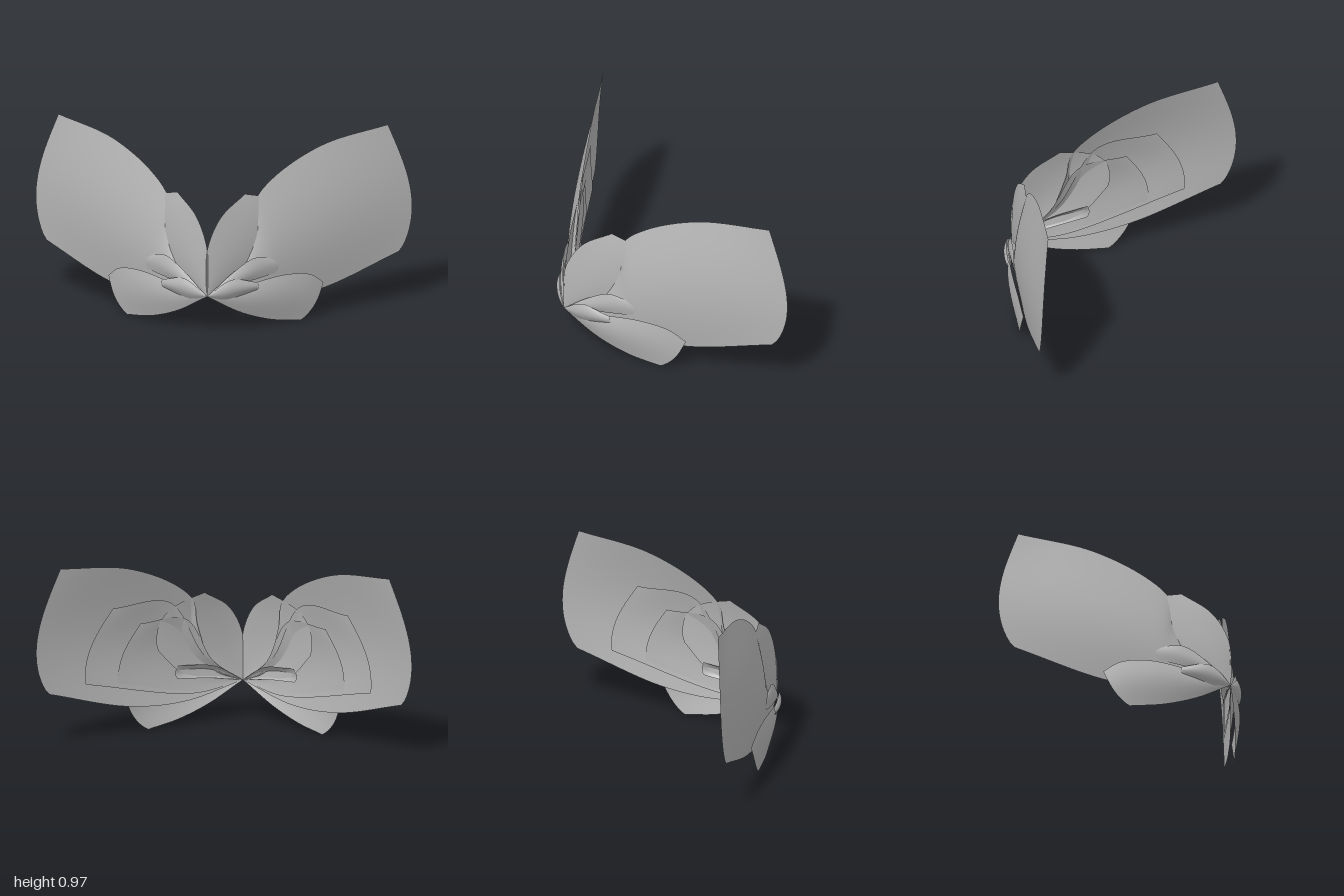
import * as THREE from 'three';

const ANGLE = 0.678; // sweep of each wing away from the x axis
const COS = Math.cos(ANGLE), SIN = Math.sin(ANGLE);
const ROOT_Y = 0.21;

// Smooth edge curve from the shared root, points given as [distance outward, height]
const edge = (...points) => new THREE.CatmullRomCurve3(
  [[0, ROOT_Y], ...points].map(([s, y]) => new THREE.Vector3(s, y, 0)), false, 'centripetal');

// Forward offset along an edge: 0 at the root, mid halfway, end at the tip
const offset = ([mid, end], t) => 4 * t * (1 - t) * mid + t * (2 * t - 1) * end;

// Curved sheet between two edges, bowed forward and rounded at its tip
function petalGeometry({ lower, upper, lowerOffset, upperOffset, bulge, tip, scale = 1 }, side) {
  const nt = 40, nw = 24, pos = [], index = [];
  for (let i = 0; i <= nt; i++) {
    const t = i / nt;
    const low = lower.getPointAt(t), high = upper.getPointAt(t);
    low.z = offset(lowerOffset, t);
    high.z = offset(upperOffset, t);
    for (let j = 0; j <= nw; j++) {
      const w = j / nw;
      const p = low.clone().lerp(high, w);
      const round = Math.sin(Math.PI * Math.pow(w, 0.75)) * t ** 3;
      const s = scale * (p.x + tip[0] * round);
      const y = ROOT_Y + scale * (p.y + tip[1] * round - ROOT_Y);
      const f = p.z + bulge * Math.sin(Math.PI * w) * Math.sin(0.9 * Math.PI * t);
      pos.push(side * (s * COS + f * SIN), y, -s * SIN + f * COS);
    }
  }
  for (let i = 0; i < nt; i++) {
    for (let j = 0; j < nw; j++) {
      const p = i * (nw + 1) + j, q = p + nw + 1;
      if (side > 0) index.push(p, q, q + 1, p, q + 1, p + 1);
      else index.push(p, q + 1, q, p, p + 1, q + 1);
    }
  }
  const g = new THREE.BufferGeometry();
  g.setAttribute('position', new THREE.Float32BufferAttribute(pos, 3));
  g.setIndex(index);
  g.computeVertexNormals();
  return g;
}

export function createModel() {
  const grey = new THREE.MeshStandardMaterial({ color: 0xb4b4b4, side: THREE.DoubleSide });
  grey.name = 'grey';

  const model = new THREE.Group();
  model.name = 'petalWings';
  const pair = new THREE.Group();
  pair.name = 'wingPair';
  pair.position.set(-0.015, 0, 0.4);
  pair.rotation.y = -0.0166; // the pair is turned very slightly
  model.add(pair);

  const left = new THREE.Group(), right = new THREE.Group();
  left.name = 'leftWing';
  right.name = 'rightWing';
  pair.add(left, right);

  // Adds one petal to both wings
  function addPetal(name, shape) {
    for (const [wing, side] of [[left, 1], [right, -1]]) {
      const mesh = new THREE.Mesh(petalGeometry(shape, side), grey);
      mesh.name = name;
      wing.add(mesh);
    }
  }

  // Large outer wing
  addPetal('outerWing', {
    lower: edge([0.35, 0.135], [0.7, 0.15], [1.195, 0.28]),
    upper: edge([0.18, 0.3], [0.3, 0.56], [0.325, 0.69], [0.45, 0.8], [0.75, 0.925], [1.16, 0.975]),
    lowerOffset: [0.02, 0.02], upperOffset: [-0.034, -0.034], bulge: 0.05, tip: [0.1, 0],
  });

  // Two shells nested behind the wing
  for (const [name, scale, bulge] of [['middleShell', 1, 0.032], ['innerShell', 0.79, 0.024]]) {
    addPetal(name, {
      lower: edge([0.3, 0.175], [0.98, 0.31]),
      upper: edge([0.25, 0.38], [0.47, 0.7], [0.82, 0.71]),
      lowerOffset: [0.002, 0], upperOffset: [-0.026, -0.014], bulge, tip: [0.04, 0.02], scale,
    });
  }

  // Upper petal beside the centre line
  addPetal('upperPetal', {
    lower: edge([0.2, 0.25], [0.4, 0.31], [0.54, 0.44]),
    upper: edge([-0.006, 0.3], [0.01, 0.48], [0.1, 0.63], [0.26, 0.73]),
    lowerOffset: [-0.016, -0.02], upperOffset: [-0.01, -0.035], bulge: 0.02, tip: [0.075, 0.075],
  });

  // Lower petal in front of the wing
  addPetal('lowerPetal', {
    lower: edge([0.195, 0.1], [0.38, 0.035], [0.565, 0.003]),
    upper: edge([0.2, 0.245], [0.45, 0.275], [0.62, 0.25], [0.71, 0.19]),
    lowerOffset: [0.035, 0.04], upperOffset: [0.054, 0.036], bulge: 0.02, tip: [0.025, -0.005],
  });

  // Small buds around the root
  addPetal('frontBud', {
    lower: edge([0.1, 0.185], [0.27, 0.215]),
    upper: edge([0.08, 0.275], [0.14, 0.295], [0.28, 0.26]),
    lowerOffset: [0.035, 0.055], upperOffset: [0.045, 0.055], bulge: 0.02, tip: [0.015, 0],
  });
  addPetal('sideBud', {
    lower: edge([0.2, 0.26], [0.4, 0.29]),
    upper: edge([0.15, 0.33], [0.27, 0.39], [0.36, 0.38]),
    lowerOffset: [0.036, 0.042], upperOffset: [0.03, 0.04], bulge: 0.014, tip: [0.04, 0.01],
  });
  addPetal('backBud', {
    lower: edge([0.2, 0.25], [0.42, 0.275]),
    upper: edge([0.2, 0.32], [0.42, 0.35]),
    lowerOffset: [-0.02, -0.025], upperOffset: [-0.03, -0.03], bulge: 0.025, tip: [0.015, 0],
  });

  return model;
}
